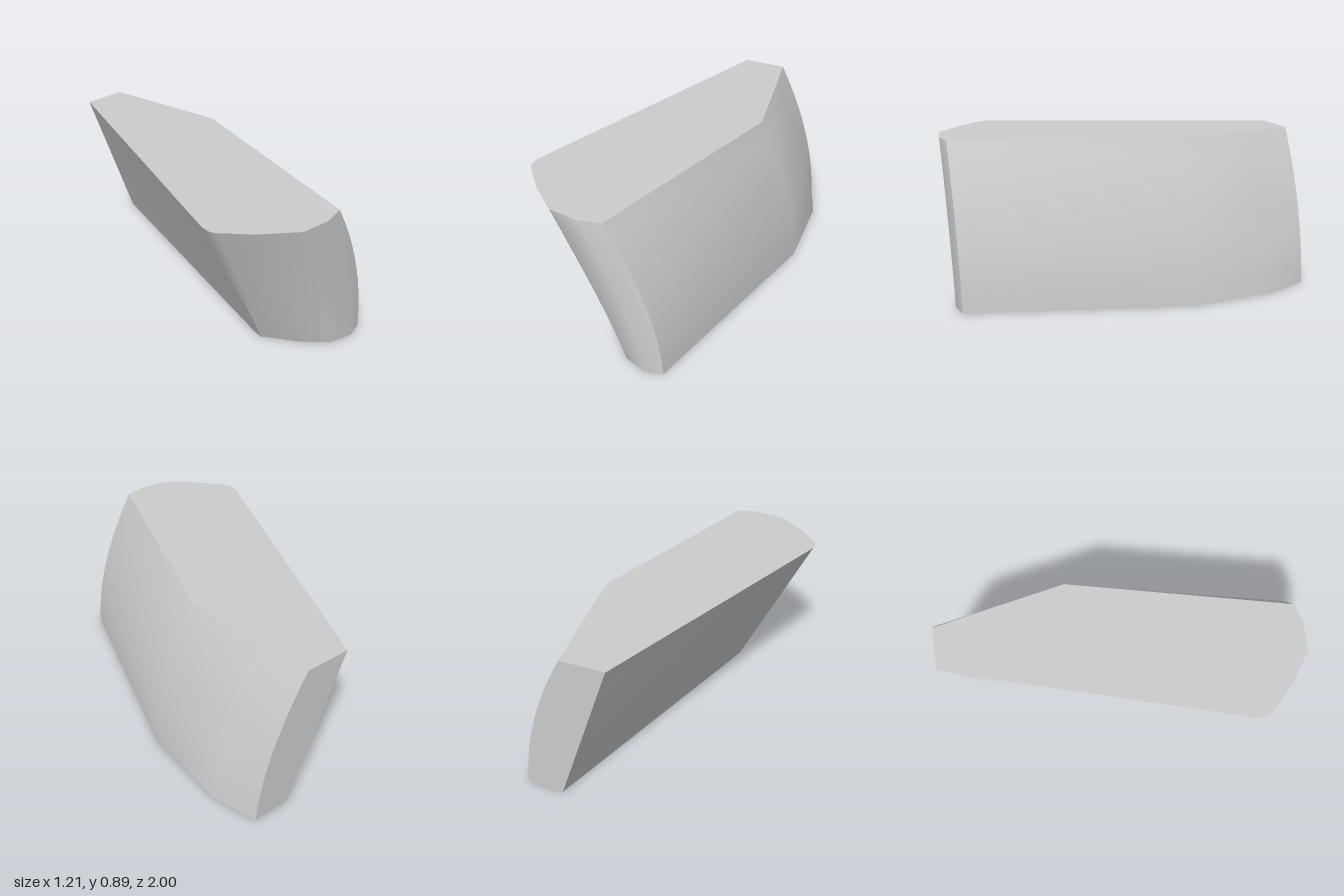
import * as THREE from 'three';
import { toCreasedNormals } from 'three/addons/utils/BufferGeometryUtils.js';

const HEIGHT = 0.89;
const ROWS = 10;

// Outline corners: bottom x, z, top x, z, outward bulge at mid height, extra flare at the foot
const OUTLINE = [
  [0.275, -1, -0.04, -1, 0, 0],
  [0.49, -1, 0.21, -1, 0.055, 0],
  [0.53, -0.75, 0.255, -0.75, 0.05, 0.05],
  [0.605, -0.25, 0.34, -0.25, 0.048, 0],
  [0.295, 0.975, -0.01, 0.975, 0.065, 0],
  [0.20, 1.0, -0.13, 1.0, 0.045, 0],
  [0.07, 0.96, -0.295, 0.98, 0.025, 0],
  [-0.05, 0.84, -0.47, 0.84, 0.01, 0],
  [-0.15, 0.69, -0.595, 0.70, 0, 0],
  [-0.175, 0.66, -0.607, 0.67, 0, 0],
  [-0.17, 0.61, -0.605, 0.62, 0, 0],
];

// Corner position at height fraction t
function cornerAt([bx, bz, tx, tz, bulge, flare], t) {
  const x = THREE.MathUtils.lerp(bx, tx, t) + bulge * 4 * t * (1 - t)
    + flare * Math.max(0, 1 - t / 0.45);
  return [x, t * HEIGHT, THREE.MathUtils.lerp(bz, tz, t)];
}

function leaningBlock() {
  const n = OUTLINE.length;
  const positions = [];
  const index = [];
  for (let r = 0; r <= ROWS; r++) {
    for (const corner of OUTLINE) positions.push(...cornerAt(corner, r / ROWS));
  }
  // Walls
  for (let r = 0; r < ROWS; r++) {
    for (let i = 0; i < n; i++) {
      const a = r * n + i;
      const b = r * n + (i + 1) % n;
      index.push(a, a + n, b + n, a, b + n, b);
    }
  }
  // Flat bottom and top, fanned from the first corner
  const top = ROWS * n;
  for (let i = 1; i < n - 1; i++) {
    index.push(0, i, i + 1);
    index.push(top, top + i + 1, top + i);
  }
  const geometry = new THREE.BufferGeometry();
  geometry.setAttribute('position', new THREE.Float32BufferAttribute(positions, 3));
  geometry.setIndex(index);
  return toCreasedNormals(geometry, THREE.MathUtils.degToRad(35));
}

export function createModel() {
  const group = new THREE.Group();
  group.name = 'curvedBlock';
  const body = new THREE.Mesh(
    leaningBlock(),
    new THREE.MeshStandardMaterial({ color: 0xcccccc }),
  );
  body.name = 'body';
  group.add(body);
  return group;
}
